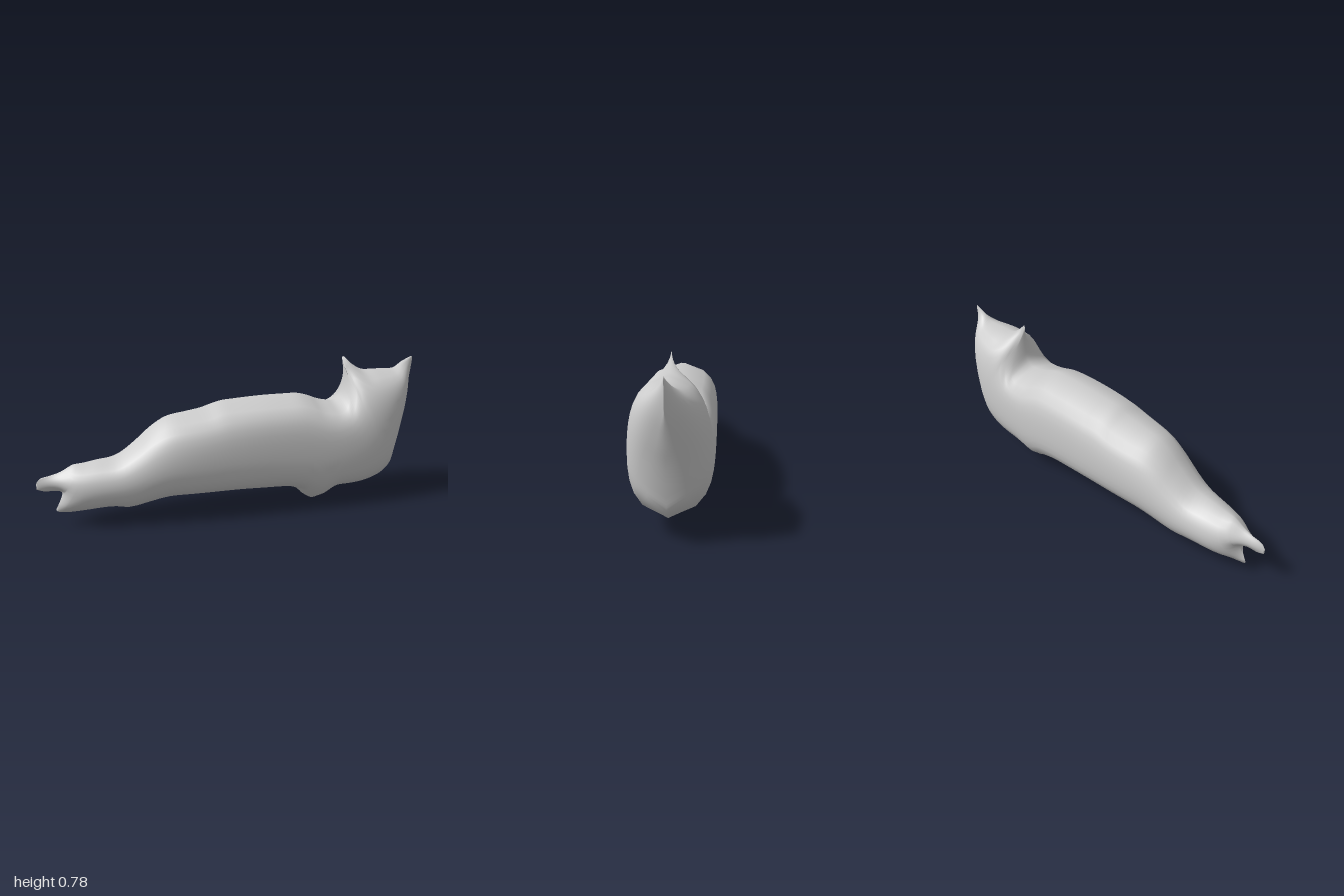
import * as THREE from 'three';
import { mergeVertices } from 'three/addons/utils/BufferGeometryUtils.js';

// Ribs across the side profile, tail to face: [upper x, upper y, lower x, lower y]
const RIBS = [
  [-1, 0.235, -0.998, 0.205], [-0.98, 0.26, -0.96, 0.192], [-0.93, 0.272, -0.92, 0.19],
  [-0.88, 0.287, -0.88, 0.18], [-0.82, 0.318, -0.89, 0.13], [-0.79, 0.322, -0.912, 0.085],
  [-0.76, 0.325, -0.88, 0.072], [-0.7, 0.335, -0.75, 0.072], [-0.6, 0.35, -0.63, 0.078],
  [-0.5, 0.42, -0.55, 0.062], [-0.42, 0.49, -0.47, 0.08], [-0.35, 0.53, -0.36, 0.105],
  [-0.25, 0.548, -0.25, 0.105], [-0.15, 0.565, -0.15, 0.105], [-0.08, 0.588, -0.08, 0.105],
  [0, 0.595, 0, 0.105], [0.15, 0.602, 0.15, 0.1], [0.25, 0.602, 0.26, 0.096],
  [0.34, 0.6, 0.35, 0.072], [0.4, 0.585, 0.39, 0.035], [0.45, 0.565, 0.45, 0.003],
  [0.5, 0.553, 0.505, 0.03], [0.55, 0.548, 0.535, 0.072], [0.58, 0.57, 0.61, 0.072],
  [0.597, 0.62, 0.7, 0.076], [0.602, 0.7, 0.8, 0.1], [0.592, 0.78, 0.86, 0.135],
  [0.64, 0.74, 0.888, 0.17], [0.7, 0.706, 0.9, 0.23], [0.77, 0.703, 0.914, 0.31],
  [0.84, 0.7, 0.928, 0.38], [0.89, 0.703, 0.946, 0.45], [0.93, 0.73, 0.963, 0.52],
  [0.965, 0.747, 0.975, 0.57], [0.995, 0.757, 0.981, 0.605], [0.992, 0.69, 0.986, 0.64],
];
const COLS = 140, ROWS = 12;

// Flat sheet of points filling the profile
function profileSheet() {
  const curve = k => new THREE.CatmullRomCurve3(RIBS.map(r => new THREE.Vector3(r[k], r[k + 1], 0)));
  const upper = curve(0), lower = curve(2), points = [], tris = [];
  for (let i = 0; i <= COLS; i++) {
    const a = upper.getPoint(i / COLS), b = lower.getPoint(i / COLS);
    for (let j = 0; j <= ROWS; j++) {
      points.push(a.clone().lerp(b, j / ROWS));
      if (i < COLS && j < ROWS) {
        const p = i * (ROWS + 1) + j, q = p + ROWS + 1;
        tris.push([p, p + 1, q], [p + 1, q + 1, q]);
      }
    }
  }
  return { points, tris };
}

// Flat flanks that round off quickly, with a slightly pinched rim
function thickness(r) {
  const full = 0.94 * r;
  return full * Math.tanh(Math.pow(r / 0.07, 1.5)) / Math.pow(1 + Math.pow(full / 0.205, 6), 1 / 6);
}

// Inflate the sheet like a membrane held at its rim, and return the half thickness
function inflate({ points, tris }) {
  const n = points.length, links = points.map(() => new Map());
  const load = new Float64Array(n), u = new Float64Array(n);
  const link = (a, b, w) => links[a].set(b, (links[a].get(b) || 0) + w);
  for (const t of tris) {
    const area2 = Math.max(1e-8, Math.abs(
      (points[t[1]].x - points[t[0]].x) * (points[t[2]].y - points[t[0]].y) -
      (points[t[1]].y - points[t[0]].y) * (points[t[2]].x - points[t[0]].x)));
    for (let k = 0; k < 3; k++) {
      const o = t[k], a = t[(k + 1) % 3], b = t[(k + 2) % 3];
      const dot = points[a].clone().sub(points[o]).dot(points[b].clone().sub(points[o]));
      link(a, b, dot / area2 / 2);
      link(b, a, dot / area2 / 2);
      load[o] += area2 / 3;
    }
  }
  const inner = [];
  for (let i = 1; i < COLS; i++) for (let j = 1; j < ROWS; j++) {
    const id = i * (ROWS + 1) + j, near = [...links[id]];
    inner.push({ id, near, sum: near.reduce((s, e) => s + e[1], 0) });
  }
  for (let pass = 0; pass < 900; pass++) {
    for (const { id, near, sum } of inner) {
      let total = load[id];
      for (const [m, w] of near) total += w * u[m];
      u[id] += 1.75 * (total / sum - u[id]);
    }
  }
  return Array.from(u, v => thickness(Math.sqrt(Math.max(0, v))));
}

export function createModel() {
  const fur = new THREE.MeshStandardMaterial({ color: 0xcccccc });
  fur.name = 'grey fur';

  // Two mirrored halves, joined along the rim
  const sheet = profileSheet(), depth = inflate(sheet);
  const n = sheet.points.length, position = [], index = [];
  for (const side of [1, -1]) {
    sheet.points.forEach((p, i) => position.push(p.x, p.y, side * depth[i]));
  }
  for (const [a, b, c] of sheet.tris) index.push(a, b, c, a + n, c + n, b + n);
  let geometry = new THREE.BufferGeometry();
  geometry.setAttribute('position', new THREE.Float32BufferAttribute(position, 3));
  geometry.setIndex(index);
  geometry = mergeVertices(geometry, 1e-5);
  geometry.computeVertexNormals();

  const body = new THREE.Mesh(geometry, fur);
  body.name = 'lyingCatBody';
  const group = new THREE.Group();
  group.name = 'lyingCat';
  group.add(body);
  return group;
}
